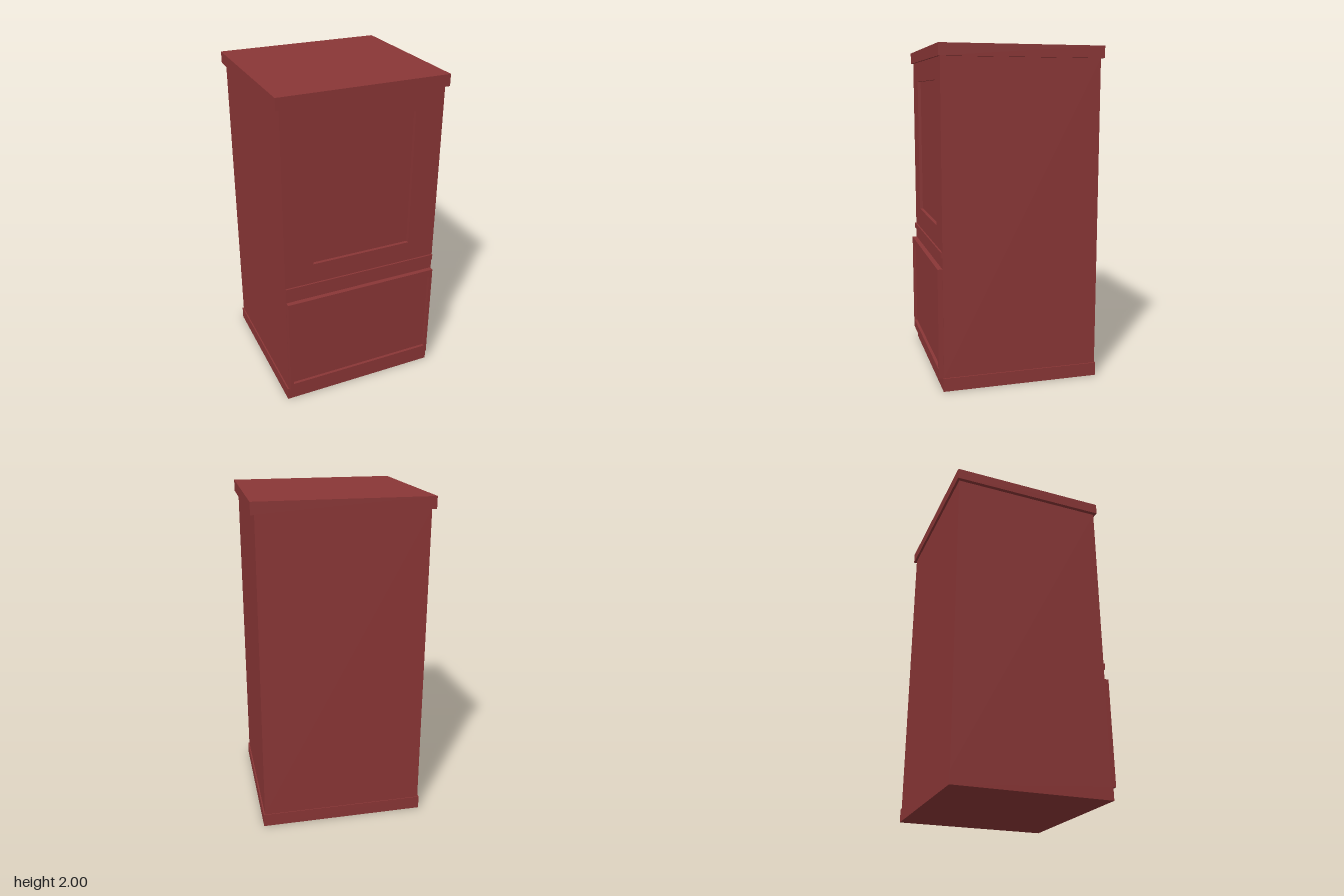
import * as THREE from 'three';
import { mergeGeometries } from 'three/addons/utils/BufferGeometryUtils.js';

const wood = new THREE.MeshStandardMaterial({ color: 0x8a3636 });
wood.name = 'red wood';

// Box given by half width, y range and z range
function box(hw, y0, y1, z0, z1) {
  return new THREE.BoxGeometry(2 * hw, y1 - y0, z1 - z0)
    .translate(0, (y0 + y1) / 2, (z0 + z1) / 2);
}

// Box without its front face
function openBox(...dims) {
  const g = box(...dims);
  const index = Array.from(g.index.array);
  index.splice(24, 6);
  g.setIndex(index);
  g.clearGroups();
  return g;
}

function corners(hw, y0, y1) {
  return [[-hw, y0], [hw, y0], [hw, y1], [-hw, y1]].map(([x, y]) => new THREE.Vector2(x, y));
}

// Box whose front carries a rectangular sunken field
function recessedBox([hw, y0, y1, z0, z1], [rw, r0, r1, depth]) {
  const shell = openBox(hw, y0, y1, z0, z1);

  const outline = new THREE.Shape(corners(hw, y0, y1));
  outline.holes.push(new THREE.Path(corners(rw, r0, r1).reverse()));
  const front = new THREE.ShapeGeometry(outline).translate(0, 0, z1);

  // Inside-out box for the walls and floor of the recess
  const pocket = openBox(rw, r0, r1, z1 - depth, z1);
  pocket.setIndex(Array.from(pocket.index.array).reverse());
  pocket.computeVertexNormals();

  return mergeGeometries([shell, front, pocket]);
}

export function createModel() {
  const model = new THREE.Group();
  model.name = 'cabinet';

  const parts = {
    base: box(0.502, 0, 0.08, -0.485, 0.47),
    // Main case with the upper sunken field
    body: recessedBox([0.494, 0.08, 1.93, -0.48, 0.466], [0.315, 0.962, 1.806, 0.02]),
    // Lower front with its wide sunken field
    lowerDoor: recessedBox([0.49, 0.08, 0.735, 0.45, 0.495], [0.469, 0.132, 0.684, 0.018]),
    rail: box(0.493, 0.8, 0.835, 0.45, 0.476),
    top: box(0.517, 1.93, 2, -0.495, 0.479),
  };

  for (const [name, geometry] of Object.entries(parts)) {
    const mesh = new THREE.Mesh(geometry, wood);
    mesh.name = name;
    model.add(mesh);
  }
  return model;
}
